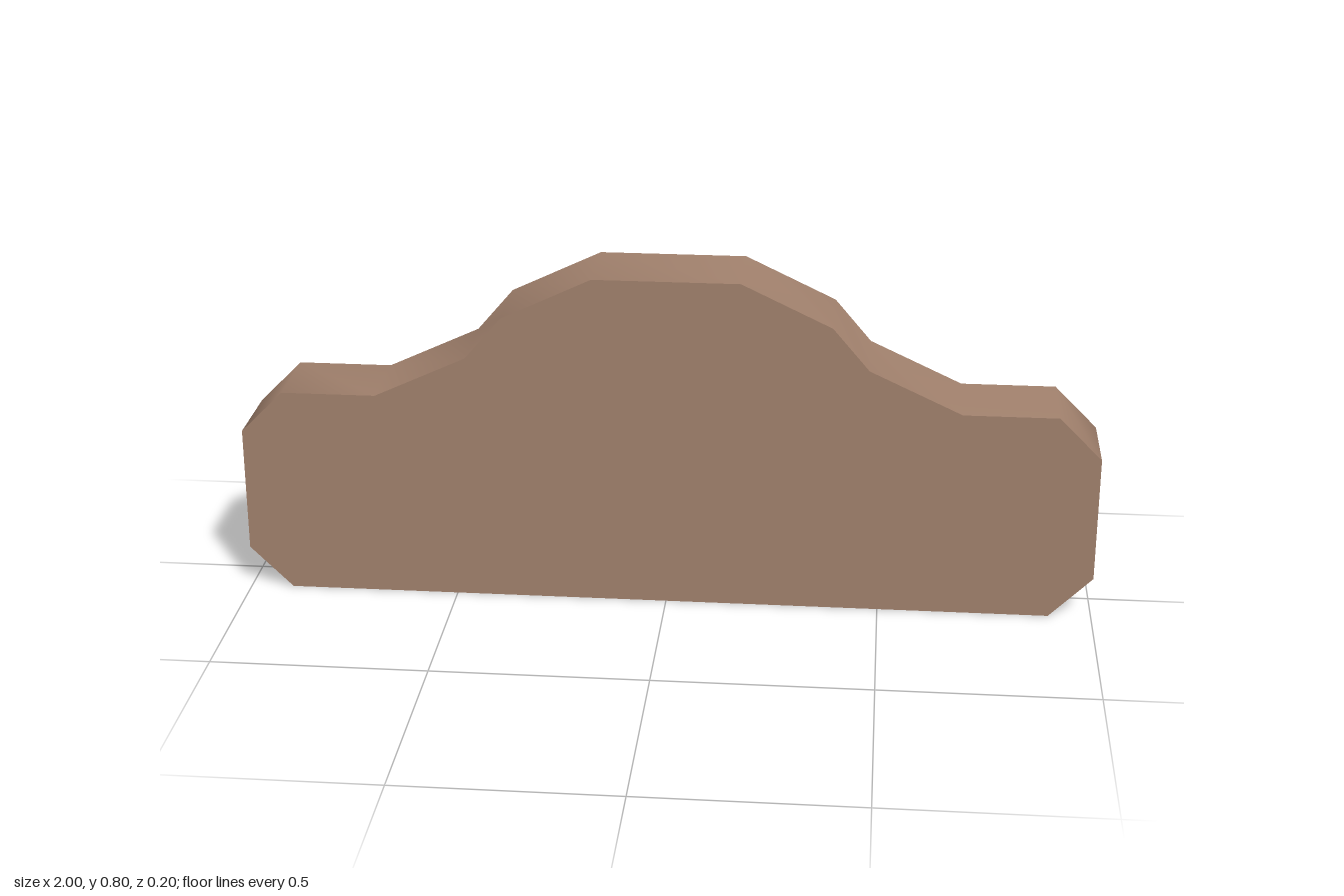
import * as THREE from 'three';
import { toCreasedNormals } from 'three/addons/utils/BufferGeometryUtils.js';

export function createModel() {
  const group = new THREE.Group();
  group.name = 'carSilhouette';

  const brown = new THREE.MeshStandardMaterial({ color: 0xa0806c });
  brown.name = 'warm brown';

  // Half of the outline, from the underside up to the roof
  const half = [
    [0.9, 0], [1, 0.1], [1, 0.4], [0.9, 0.5],
    [0.68, 0.5], [0.465, 0.6], [0.38, 0.7], [0.17, 0.8],
  ];
  const mirrored = half.map(([x, y]) => [-x, y]).reverse();
  const outline = [...half, ...mirrored].map(([x, y]) => new THREE.Vector2(x, y));

  // Slab with flat faces and a softly shaded rim
  const depth = 0.2;
  const slab = new THREE.ExtrudeGeometry(new THREE.Shape(outline), { depth, bevelEnabled: false });
  slab.translate(0, 0, -depth / 2);

  const body = new THREE.Mesh(toCreasedNormals(slab, Math.PI / 3), brown);
  body.name = 'body';
  group.add(body);
  return group;
}
